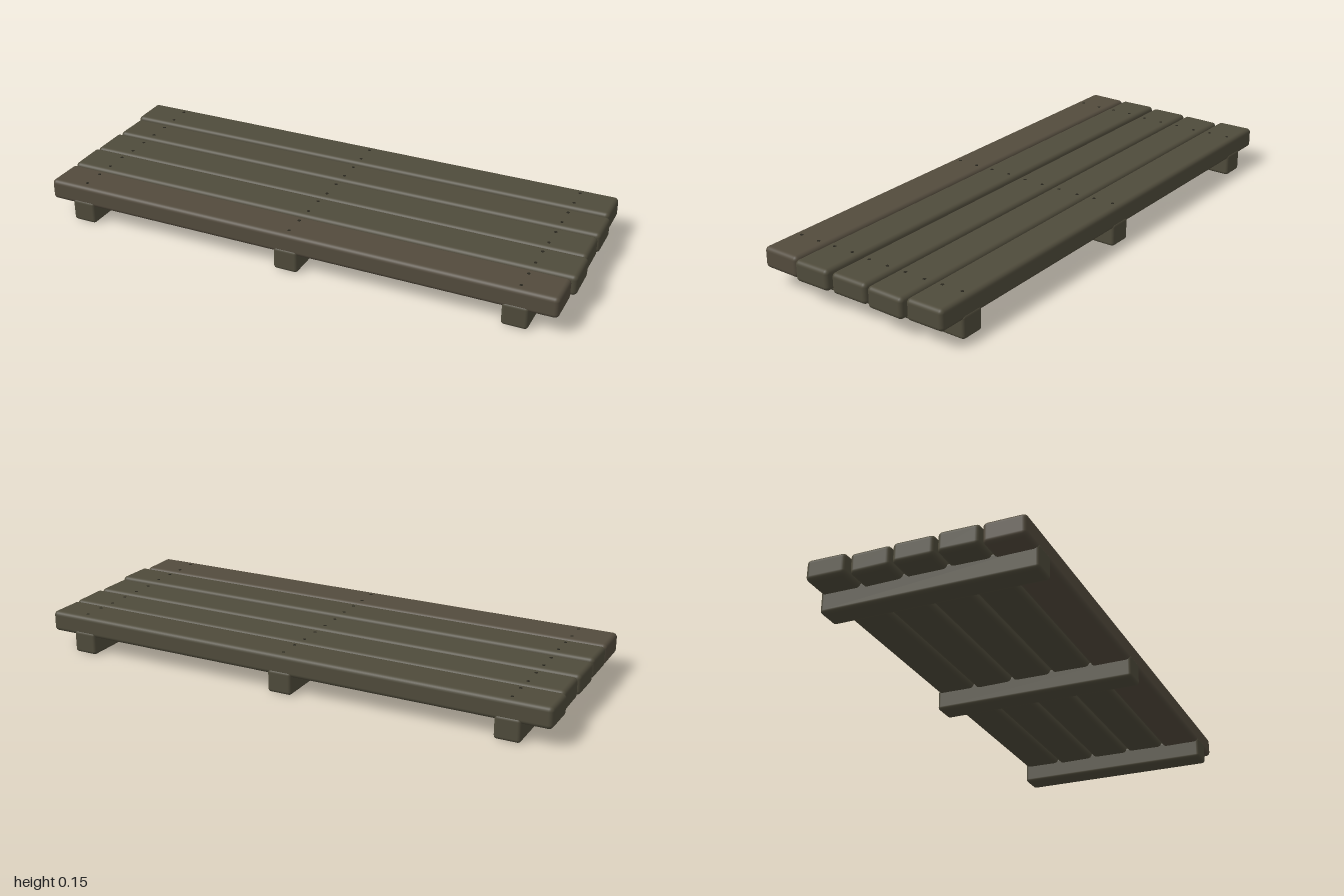
import * as THREE from 'three';
import { RoundedBoxGeometry } from 'three/addons/geometries/RoundedBoxGeometry.js';

const material = (name, color) => {
  const m = new THREE.MeshStandardMaterial({ color });
  m.name = name;
  return m;
};

export function createModel() {
  const wood = material('weathered wood', 0x4f4b3b);
  const brownWood = material('brown wood', 0x534b3d);
  const iron = material('dark nail', 0x29271f);
  const group = new THREE.Group();
  group.name = 'plankPlatform';

  // Softly rounded timber between two corners
  const timber = (name, mat, [x0, x1], [y0, y1], [z0, z1], radius) => {
    const mesh = new THREE.Mesh(new RoundedBoxGeometry(x1 - x0, y1 - y0, z1 - z0, 3, radius), mat);
    mesh.position.set((x0 + x1) / 2, (y0 + y1) / 2, (z0 + z1) / 2);
    mesh.name = name;
    group.add(mesh);
    return mesh;
  };

  // Three cross beams underneath
  for (const x of [-0.85, -0.004, 0.84]) {
    timber('crossBeam', wood, [x - 0.047, x + 0.047], [0, 0.086], [-0.389, 0.389], 0.012);
  }

  // Five planks, back to front, slightly uneven: ends, bottom, top, depth range
  const planks = [
    { x: [-1.0, 0.985], y: [0.067, 0.145], z: [-0.386, -0.239], tilt: 0.01 },
    { x: [-0.988, 0.994], y: [0.064, 0.142], z: [-0.23, -0.084], tilt: -0.012 },
    { x: [-0.992, 0.99], y: [0.066, 0.142], z: [-0.075, 0.074], tilt: 0.006 },
    { x: [-0.99, 1.0], y: [0.069, 0.146], z: [0.082, 0.229], tilt: 0.012 },
    { x: [-0.988, 0.985], y: [0.067, 0.145], z: [0.236, 0.386], tilt: -0.008 },
  ];
  const nailGeometry = new THREE.CylinderGeometry(0.006, 0.006, 0.006, 8);
  planks.forEach((p, i) => {
    const plank = timber('plank', i === 4 ? brownWood : wood, p.x, p.y, p.z, 0.016);
    plank.rotation.x = p.tilt;

    // Pairs of nail heads above every beam
    for (const x of [-0.85, -0.004, 0.845]) {
      for (const z of [-0.04, 0.04]) {
        const nail = new THREE.Mesh(nailGeometry, iron);
        nail.name = 'nailHead';
        nail.position.set(x - plank.position.x, (p.y[1] - p.y[0]) / 2 - 0.002, z);
        plank.add(nail);
      }
    }
  });
  return group;
}
